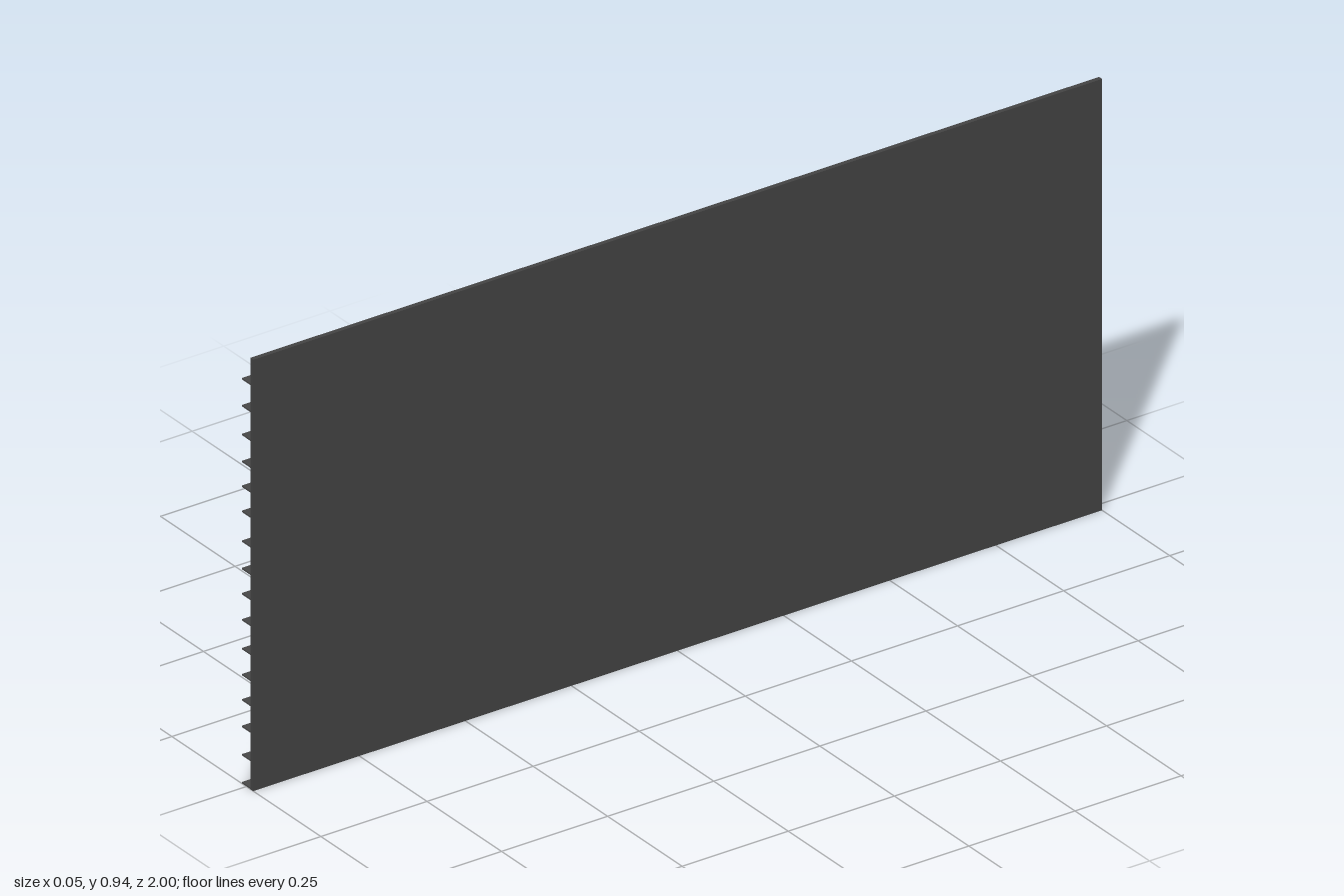
import * as THREE from 'three';

const mat = (color) => new THREE.MeshStandardMaterial({ color });
const dark = mat(0x444444);
const shelfGrey = mat(0x484848);
const itemGrey = mat(0x707070);
const plateGrey = mat(0x999999);

const SHELF_Y = [0.002, 0.063, 0.125, 0.183, 0.238, 0.295, 0.358, 0.415,
  0.47, 0.53, 0.595, 0.65, 0.704, 0.763, 0.826, 0.885];
const THICK = 0.003;

// Box standing on y, centred on x and z
function box(parent, name, material, w, h, d, x, y, z, turn = 0) {
  const mesh = new THREE.Mesh(new THREE.BoxGeometry(w, h, d), material);
  mesh.name = name;
  mesh.position.set(x, y + h / 2, z);
  mesh.rotation.y = turn;
  parent.add(mesh);
}

export function createModel() {
  const model = new THREE.Group();
  model.name = 'shelfWall';
  const group = (name) => {
    const g = new THREE.Group();
    g.name = name;
    model.add(g);
    return g;
  };

  // Back panel
  box(model, 'backPanel', dark, 0.01, 0.943, 2, 0.018, 0, 0);

  // Shelves running the full length
  const shelves = group('shelves');
  SHELF_Y.forEach((y) => box(shelves, 'shelf', shelfGrey, 0.03, THICK, 2, 0, y - THICK / 2, 0));
  const top = (i) => SHELF_Y[i] + THICK / 2;

  // Tall cartons: [shelf, z, columns along the shelf, height]
  const cartons = group('tallCartons');
  [
    [1, -0.886, 2, 0.034], [1, -0.66, 4, 0.034], [1, -0.386, 2, 0.034], [1, -0.114, 4, 0.034],
    [1, 0.17, 2, 0.034], [1, 0.45, 4, 0.034], [1, 0.786, 2, 0.034],
    [2, -0.74, 1, 0.034], [2, -0.257, 1, 0.034], [2, 0.307, 1, 0.034], [2, 0.91, 1, 0.034],
    [3, -0.65, 3, 0.034], [3, -0.58, 1, 0.026], [3, -0.1, 3, 0.034], [3, -0.02, 1, 0.03],
    [3, 0.48, 3, 0.034], [3, 0.55, 2, 0.03],
  ].forEach(([s, z, n, h]) => {
    for (let i = 0; i < n; i++) {
      for (const x of [-0.007, 0.004]) {
        box(cartons, 'carton', itemGrey, 0.006, h, 0.02, x, top(s), z + (i - (n - 1) / 2) * 0.025);
      }
    }
  });

  // Stepped clusters of small packs: [shelf, z, tallest height]
  const clusters = group('packClusters');
  [
    [2, -0.86, 0.02], [2, -0.41, 0.02], [2, -0.05, 0.02], [2, 0.5, 0.02],
    [3, -0.85, 0.014], [3, -0.35, 0.014], [3, 0.2, 0.014], [3, 0.8, 0.014],
    [5, -0.55, 0.022], [5, -0.02, 0.022], [5, 0.54, 0.022], [5, 0.78, 0.018],
  ].forEach(([s, z, h]) => {
    for (let i = 0; i < 6; i++) {
      box(clusters, 'pack', itemGrey, 0.014, h * (0.35 + 0.65 * ((i * 2) % 5) / 4), 0.012,
        -0.001, top(s), z + (i - 2.5) * 0.02);
    }
  });

  // Rows of low packs
  const rows = group('lowPackRows');
  [[0, 0.01, 0.065], [2, 0.008, 0.05], [3, 0.011, 0.05], [4, 0.006, 0.07], [5, 0.006, 0.09]]
    .forEach(([s, h, step]) => {
      for (let z = -0.95, i = 0; z < 0.96; z += step, i++) {
        box(rows, 'lowPack', itemGrey, 0.018, h * (0.6 + 0.2 * (i % 3)), 0.018 + 0.006 * (i % 2),
          -0.003, top(s), z, 0.2 * ((i % 3) - 1));
      }
    });

  // Thin plates overhanging the shelf edge: [shelf, z positions]
  const plates = group('overhangingPlates');
  [
    [10, [-0.386, 0.69]], [7, [-0.77, -0.19, 0.03]],
    [6, [-0.9, -0.53, 0.164, 0.77]], [4, [-0.8, -0.3, -0.07, 0.25, 0.6]],
    [1, [-0.64, 0.3, 0.85]], [0, [-0.85, -0.35, 0.2, 0.49, 0.9]],
  ].forEach(([s, list]) => list.forEach((z, i) =>
    box(plates, 'plate', plateGrey, 0.03, 0.003, 0.022, -0.009, top(s), z, 0.15 * (i % 2 ? 1 : -1))));

  return model;
}
